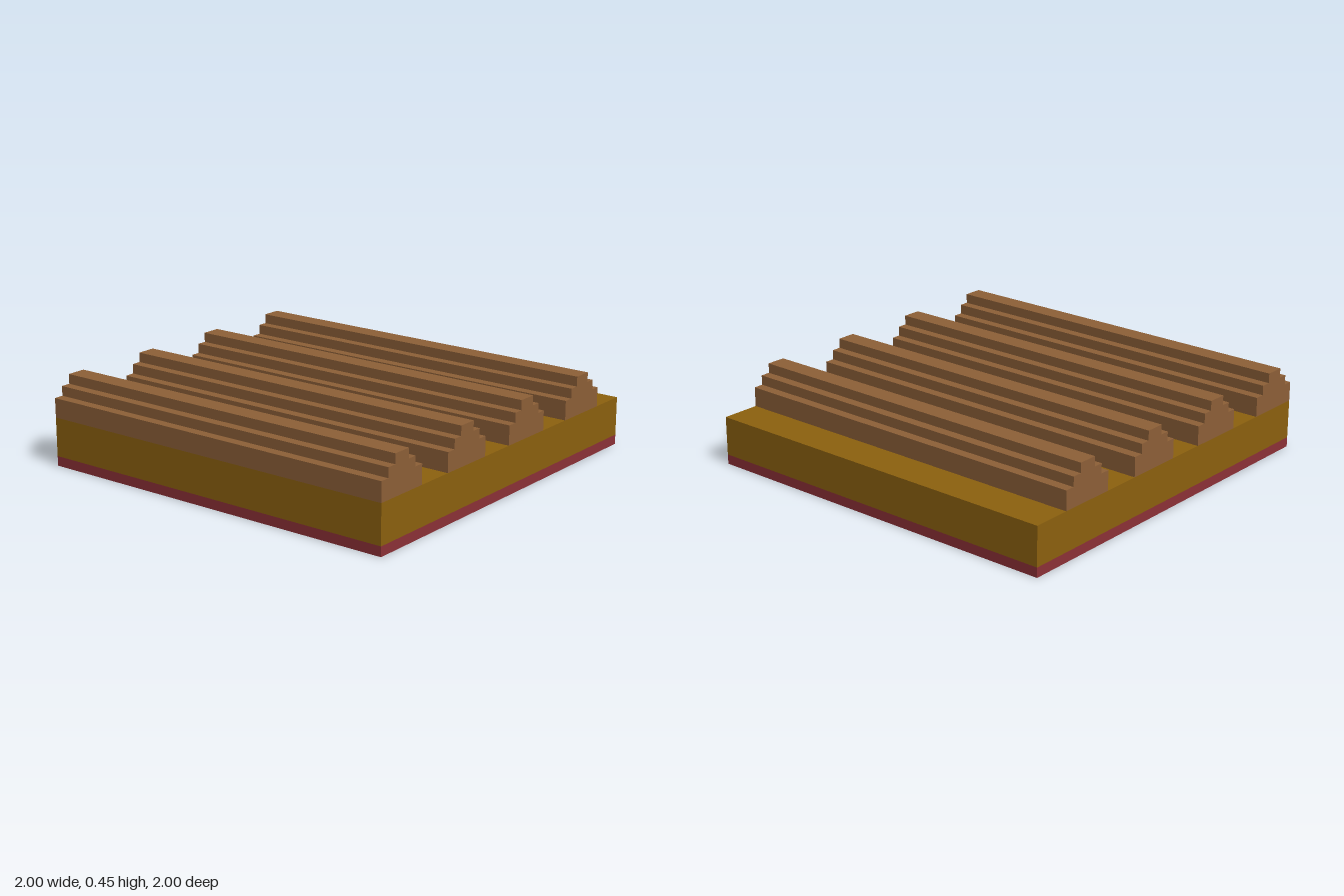
import * as THREE from 'three';

export function createModel() {
  const group = new THREE.Group();
  group.name = 'ridgedField';

  const material = (name, color) => {
    const m = new THREE.MeshStandardMaterial({ color });
    m.name = name;
    return m;
  };
  const soil = material('ochre soil', 0x8b600e);
  const ridgeBrown = material('ridge brown', 0x8c5f37);
  const clay = material('red clay', 0x8b3036);

  const add = (name, geometry, mat, x, y, z) => {
    const mesh = new THREE.Mesh(geometry, mat);
    mesh.name = name;
    mesh.position.set(x, y, z);
    group.add(mesh);
  };

  // Layered slab
  add('bottomLayer', new THREE.BoxGeometry(2, 0.05, 2), clay, 0, 0.025, 0);
  add('soilLayer', new THREE.BoxGeometry(2, 0.2, 2), soil, 0, 0.15, 0);

  // Stepped ridge cross-section, run along the full depth
  const half = [[0.15, 0], [0.15, 0.1], [0.1, 0.1], [0.1, 0.15], [0.05, 0.15], [0.05, 0.2]];
  const mirrored = half.map(([x, y]) => [-x, y]).reverse();
  const profile = new THREE.Shape([...half, ...mirrored].map(([x, y]) => new THREE.Vector2(x, y)));
  const ridge = new THREE.ExtrudeGeometry(profile, { depth: 2, bevelEnabled: false });
  for (let i = 0; i < 4; i++) add('ridge' + (i + 1), ridge, ridgeBrown, -0.85 + i * 0.5, 0.25, -1);

  // Small flat clod beside the second ridge
  add('clod', new THREE.BoxGeometry(0.05, 0.002, 0.09), ridgeBrown, -0.525, 0.251, 0.65);

  return group;
}
